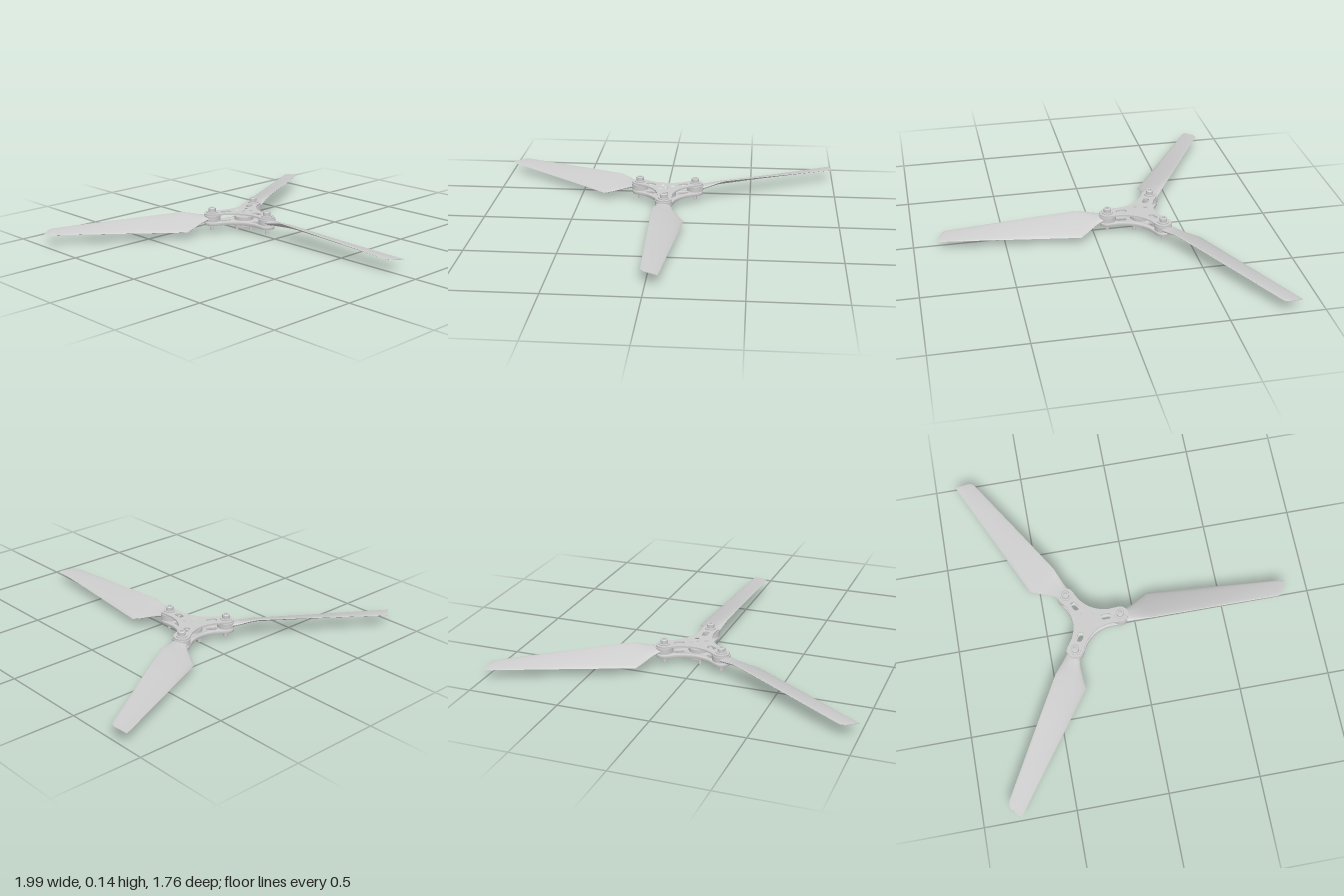
import * as THREE from 'three';
import { toCreasedNormals } from 'three/addons/utils/BufferGeometryUtils.js';

const material = new THREE.MeshStandardMaterial({ color: 0xcccccc });
const PIVOT = 0.187; // distance of each blade pivot from the hub centre
const ARM = Math.PI * 2 / 3;

function add(parent, name, geometry, x = 0, y = 0, z = 0) {
  const mesh = new THREE.Mesh(geometry, material);
  mesh.name = name;
  mesh.position.set(x, y, z);
  parent.add(mesh);
  return mesh;
}

// Upright cylinder between two heights
function post(parent, name, r, y0, y1, x = 0, z = 0, sides = 28) {
  return add(parent, name, new THREE.CylinderGeometry(r, r, y1 - y0, sides), x, (y0 + y1) / 2, z);
}

function turn([x, y], angle) {
  const c = Math.cos(angle), s = Math.sin(angle);
  return [x * c + y * s, -x * s + y * c];
}

const hubHoles = [0, 1, 2, 3].map((i) => turn([0, 0.042], 0.56 + i * Math.PI / 2));

// Three-armed plate with concave flanks, screw holes and one slot per arm
function plate(w, bottom, top, bevel) {
  const shape = new THREE.Shape();
  for (let i = 0; i < 3; i++) {
    const a = i * ARM;
    const inner = turn([-w * 0.92, 0.13], a);
    if (i === 0) shape.moveTo(...inner);
    for (let k = 0; k <= 14; k++) {
      const t = Math.PI * (1 - k / 14);
      shape.lineTo(...turn([w * Math.cos(t), PIVOT + w * Math.sin(t)], a));
    }
    shape.lineTo(...turn([w * 0.92, 0.13], a));
    shape.quadraticCurveTo(...turn([0, 0.056], a + ARM / 2), ...turn([-w * 0.92, 0.13], a + ARM));

    const slot = [];
    for (let k = 0; k < 24; k++) {
      const t = k / 24 * Math.PI * 2;
      slot.push(new THREE.Vector2(...turn([0.017 * Math.cos(t), 0.107 + 0.017 * Math.sin(t) + (k < 12 ? 0.012 : -0.012)], a)));
    }
    shape.holes.push(new THREE.Path(slot));
  }
  for (const [x, y] of [[0, 0], ...hubHoles]) {
    shape.holes.push(new THREE.Path().absarc(x, y, 0.012, 0, Math.PI * 2, true));
  }
  const g = new THREE.ExtrudeGeometry(shape, {
    depth: top - bottom - 2 * bevel, curveSegments: 16, bevelEnabled: bevel > 0,
    bevelThickness: bevel, bevelSize: bevel, bevelOffset: -bevel, bevelSegments: 2,
  });
  g.rotateX(Math.PI / 2).translate(0, top - bevel, 0);
  return toCreasedNormals(g, 0.6);
}

// Twisted blade lofted through lens-shaped sections
function bladeGeometry() {
  // high edge: x, y, z; low edge: x, y, z; half thickness
  const rows = [
    [-0.036, 0.085, 0.187, 0.036, 0.085, 0.187, 0.015],
    [-0.041, 0.088, 0.225, 0.040, 0.081, 0.225, 0.014],
    [-0.043, 0.095, 0.262, 0.058, 0.070, 0.262, 0.013],
    [-0.048, 0.107, 0.312, 0.093, 0.053, 0.312, 0.011],
    [-0.053, 0.114, 0.357, 0.124, 0.041, 0.357, 0.010],
    [-0.050, 0.101, 0.600, 0.101, 0.048, 0.600, 0.008],
    [-0.046, 0.086, 0.860, 0.076, 0.055, 0.860, 0.006],
    [-0.043, 0.073, 1.080, 0.054, 0.061, 1.100, 0.004],
    [-0.038, 0.071, 1.100, 0.051, 0.062, 1.122, 0.003],
    [-0.022, 0.069, 1.113, 0.049, 0.063, 1.142, 0.002],
  ];
  const N = 24, pos = [], index = [];
  for (const [x0, y0, z0, x1, y1, z1, h] of rows) {
    for (let k = 0; k < N; k++) {
      const t = k / N * Math.PI * 2;
      const f = (Math.cos(t) + 1) / 2;
      pos.push(x0 + (x1 - x0) * f, y0 + (y1 - y0) * f + h * Math.sin(t), z0 + (z1 - z0) * f);
    }
  }
  for (let i = 0; i < rows.length - 1; i++) {
    for (let k = 0; k < N; k++) {
      const a = i * N + k, b = i * N + (k + 1) % N;
      index.push(a, b, b + N, a, b + N, a + N);
    }
  }
  const last = (rows.length - 1) * N;
  for (let k = 1; k < N - 1; k++) {
    index.push(0, k + 1, k, last, last + k, last + k + 1);
  }
  const g = new THREE.BufferGeometry();
  g.setAttribute('position', new THREE.Float32BufferAttribute(pos, 3));
  g.setIndex(index);
  return toCreasedNormals(g, 0.5);
}

// Cap screw head with a hexagonal-looking recess
function screwHead() {
  const profile = [[0, 0.008], [0.01, 0.008], [0.01, 0.024], [0.018, 0.024], [0.021, 0.021], [0.021, 0]];
  const points = profile.map(([x, y]) => new THREE.Vector2(x, y)).reverse();
  return toCreasedNormals(new THREE.LatheGeometry(points, 24), 0.5);
}

export function createModel() {
  const model = new THREE.Group();
  model.name = 'foldingPropeller';
  const rotor = new THREE.Group();
  rotor.name = 'rotor';
  rotor.position.set(0.016, 0, -0.267);
  model.add(rotor);

  // Hub plates and central boss
  add(rotor, 'topPlate', plate(0.045, 0.104, 0.113, 0));
  add(rotor, 'bottomPlate', plate(0.045, 0.044, 0.064, 0.004));
  post(rotor, 'hubSpacer', 0.055, 0.06, 0.085);
  post(rotor, 'hubBoss', 0.062, 0.03, 0.046);

  // Two mounting bolts below the hub
  for (const i of [1, 3]) {
    const [x, z] = hubHoles[i].map((v, j) => (j ? Math.sign(v) * 0.036 : Math.sign(v) * 0.021));
    post(rotor, 'mountingBolt', 0.009, 0, 0.06, -x, z);
  }

  // Blades with their pivots
  const blade = bladeGeometry(), head = screwHead();
  for (let i = 0; i < 3; i++) {
    const arm = new THREE.Group();
    arm.name = 'bladeArm';
    arm.rotation.y = i * ARM;
    rotor.add(arm);
    add(arm, 'blade', blade);
    post(arm, 'bladeCollar', 0.048, 0.07, 0.102, 0, PIVOT, 36);
    post(arm, 'upperWasher', 0.031, 0.112, 0.119, 0, PIVOT);
    post(arm, 'lowerWasher', 0.036, 0.062, 0.072, 0, PIVOT);
    post(arm, 'pivotBolt', 0.010, 0.01, 0.12, 0, PIVOT);
    post(arm, 'lockNut', 0.018, 0.036, 0.046, 0, PIVOT, 6);
    add(arm, 'screwHead', head, 0, 0.119, PIVOT);
  }
  return model;
}
